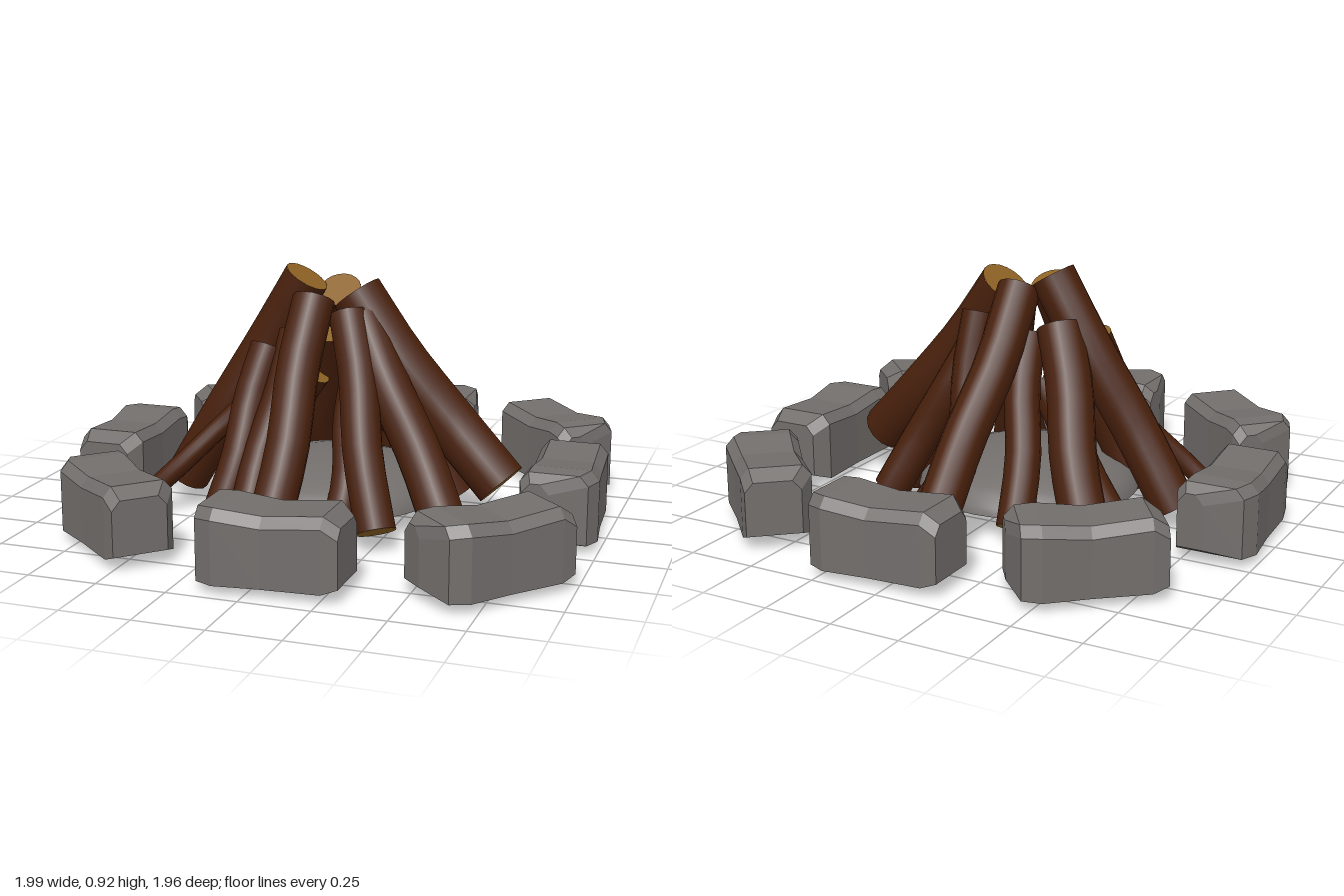
import * as THREE from 'three';

const mat = (name, color) => {
  const m = new THREE.MeshStandardMaterial({ color });
  m.name = name;
  return m;
};

// Faceted stone lofted along x; +z is the outward side of the ring
function stoneGeometry() {
  // x, inner z, outer z, top y
  const stations = [
    [-0.26, -0.115, -0.02, 0.26],
    [-0.225, -0.128, 0.11, 0.292],
    [-0.16, -0.126, 0.138, 0.298],
    [0, -0.127, 0.118, 0.28],
    [0.2, -0.14, 0.105, 0.296],
    [0.255, -0.1, 0.095, 0.26],
  ];
  const rings = stations.map(([x, zi, zo, t]) => {
    const b = Math.abs(x) > 0.25 ? 0.065 : 0.045;
    return [
      [x, b, zi], [x, b, zo], [x, t - 0.035, zo],
      [x, t, zo - 0.03], [x, t, zi + 0.03], [x, t - 0.035, zi],
    ];
  });
  const n = 6, pos = [];
  const tri = (...pts) => pts.forEach((p) => pos.push(...p));
  for (let s = 0; s < rings.length - 1; s++) {
    const A = rings[s], B = rings[s + 1];
    for (let j = 0; j < n; j++) {
      const k = (j + 1) % n;
      tri(A[j], B[j], A[k]);
      tri(B[j], B[k], A[k]);
    }
  }
  const first = rings[0], last = rings[rings.length - 1];
  for (let j = 1; j < n - 1; j++) {
    tri(first[0], first[j], first[j + 1]);
    tri(last[0], last[j + 1], last[j]);
  }
  const g = new THREE.BufferGeometry();
  g.setAttribute('position', new THREE.Float32BufferAttribute(pos, 3));
  g.computeVertexNormals();
  return g;
}

// Slightly crooked log with pale cut ends; sag lowers its middle
function makeLog(a, b, r, bend, sag, bark, wood) {
  const log = new THREE.Group();
  log.name = 'log';
  const side = b.clone().sub(a).cross(new THREE.Vector3(0, 1, 0)).normalize();
  const at = (t, off) => {
    const p = a.clone().lerp(b, t).addScaledVector(side, off);
    p.y -= sag;
    return p;
  };
  const curve = new THREE.CatmullRomCurve3([a, at(0.35, bend), at(0.7, -bend * 0.6), b]);
  const body = new THREE.Mesh(new THREE.TubeGeometry(curve, 8, r, 14, false), bark);
  body.name = 'logBark';
  log.add(body);
  for (const t of [0, 1]) {
    const cap = new THREE.Mesh(new THREE.CircleGeometry(r, 20), wood);
    cap.name = 'logCutEnd';
    const dir = curve.getTangentAt(t).multiplyScalar(t ? 1 : -1);
    cap.quaternion.setFromUnitVectors(new THREE.Vector3(0, 0, 1), dir);
    cap.position.copy(curve.getPointAt(t));
    log.add(cap);
  }
  return log;
}

export function createModel() {
  const model = new THREE.Group();
  model.name = 'campfire';
  const stoneGrey = mat('stoneGrey', 0x726e6c);
  const bark = mat('barkBrown', 0x48200c);
  const wood = mat('cutWood', 0x8c6124);

  // Ring of stones: x, z, turn in degrees
  const ring = new THREE.Group();
  ring.name = 'stoneRing';
  const stone = stoneGeometry();
  [
    [0.06, 0.84, 0], [0.745, 0.655, 45], [0.855, -0.02, 90], [0.685, -0.65, 131],
    [0.06, -0.845, 180], [-0.595, -0.665, -145], [-0.855, -0.01, -90], [-0.605, 0.65, -44],
  ].forEach(([x, z, deg]) => {
    const m = new THREE.Mesh(stone, stoneGrey);
    m.name = 'stone';
    m.position.set(x, 0, z);
    m.rotation.y = THREE.MathUtils.degToRad(deg);
    ring.add(m);
  });
  model.add(ring);

  // Low ash mound with a flat underside
  const profile = [new THREE.Vector2(0, 0), new THREE.Vector2(0.41, 0)];
  for (let i = 0; i <= 8; i++) {
    const t = (i / 8) * Math.PI / 2;
    profile.push(new THREE.Vector2(Math.max(0, 0.41 * Math.cos(t)), 0.15 * Math.sin(t)));
  }
  const mound = new THREE.Mesh(new THREE.LatheGeometry(profile, 32), stoneGrey);
  mound.name = 'ashMound';
  mound.position.set(-0.03, 0.095, 0);
  model.add(mound);

  // Logs: base x, z, top x, y, z, radius, and extra base height for the two longest
  const pile = new THREE.Group();
  pile.name = 'logPile';
  [
    [-0.02, -0.65, -0.02, 0.84, -0.06, 0.078, 0.08],
    [0.625, 0.045, 0.065, 0.84, 0, 0.096, 0.09],
    [-0.62, 0, -0.13, 0.89, -0.01, 0.084],
    [-0.45, -0.37, -0.19, 0.72, -0.07, 0.084],
    [-0.08, 0.54, -0.06, 0.83, 0.11, 0.077],
    [0.49, 0.3, 0.1, 0.76, 0.04, 0.082],
    [0.4, -0.28, 0.1, 0.68, -0.11, 0.068],
    [0.41, -0.15, 0.1, 0.66, -0.05, 0.068],
    [0.21, -0.48, 0.06, 0.44, -0.12, 0.04],
    [0.27, 0.4, 0.06, 0.78, 0.08, 0.072],
    [0.12, 0.37, 0.1, 0.55, 0.12, 0.056],
    [-0.32, 0.4, -0.23, 0.65, 0.13, 0.064],
    [-0.2, 0.44, -0.13, 0.7, 0.1, 0.065],
    [-0.71, 0.27, -0.25, 0.5, 0.1, 0.038],
    [-0.38, 0.2, -0.15, 0.62, 0.06, 0.06],
    [-0.43, -0.15, -0.13, 0.52, -0.08, 0.066],
    [-0.19, -0.41, -0.07, 0.68, -0.08, 0.064],
    [0.1, -0.35, 0.1, 0.76, -0.14, 0.06],
  ].forEach(([bx, bz, tx, ty, tz, r, lift = 0], i) => {
    const base = new THREE.Vector3(bx, r < 0.05 ? 0.04 : 0.035 + r * 0.65 + lift, bz);
    const bend = i % 3 === 0 ? -0.012 : 0.013;
    pile.add(makeLog(base, new THREE.Vector3(tx, ty, tz), r, bend, lift * 0.3, bark, wood));
  });
  model.add(pile);
  return model;
}
